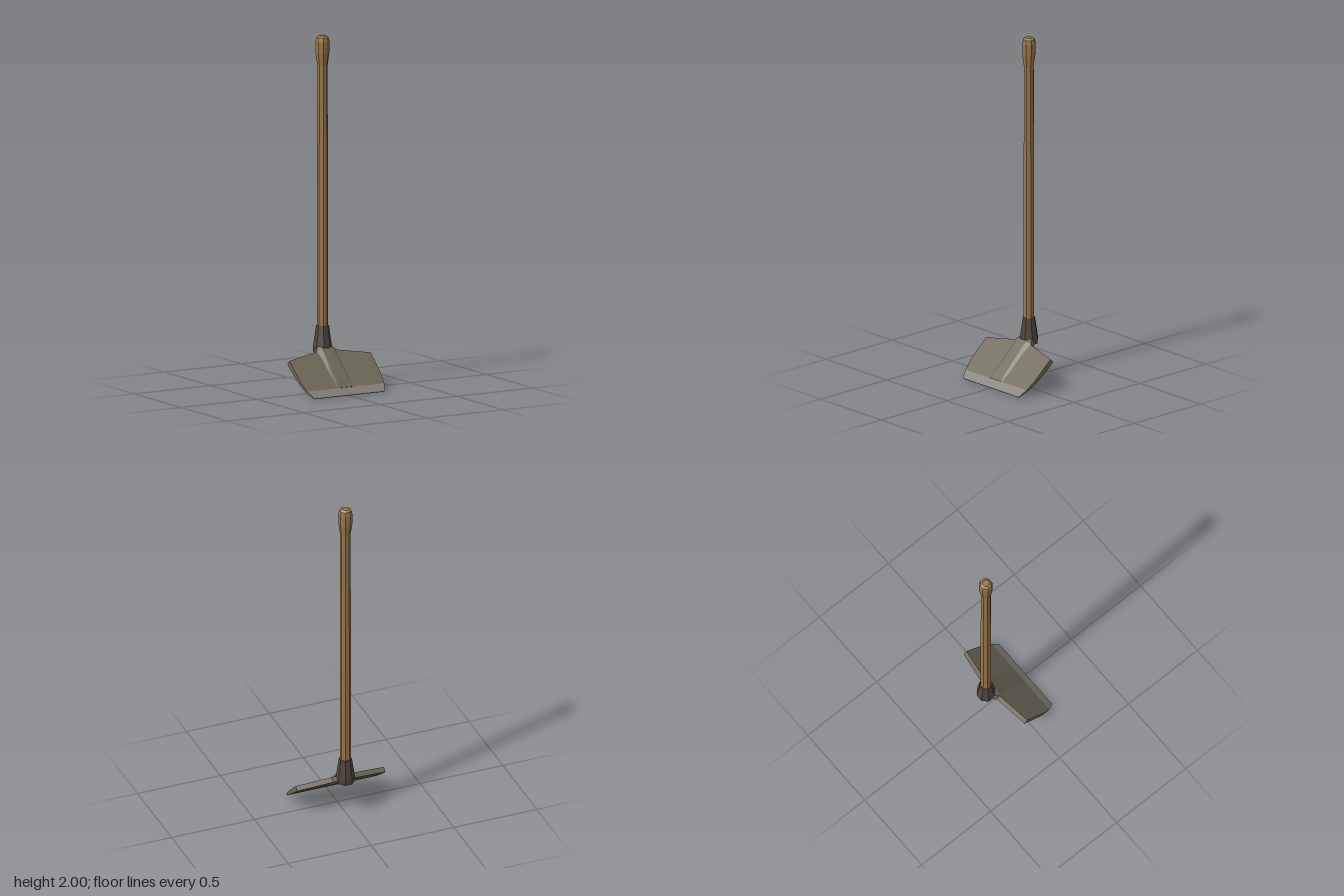
import * as THREE from 'three';

const SHAFT_Z = -0.12;
const material = (color) => new THREE.MeshStandardMaterial({ color, flatShading: true });

// Skin over matching cross-sections; each runs -x to +x on top, then back underneath.
function loft(rows) {
  const pos = [];
  const n = rows[0].length;
  const tri = (...pts) => pts.forEach((p) => pos.push(...p));
  for (let i = 0; i < rows.length - 1; i++) {
    for (let k = 0; k < n; k++) {
      const j = (k + 1) % n;
      const [a, b, c, d] = [rows[i][k], rows[i][j], rows[i + 1][k], rows[i + 1][j]];
      tri(a, c, b);
      tri(b, c, d);
    }
  }
  // End caps
  const first = rows[0], last = rows[rows.length - 1];
  for (let k = 0; k < n / 2 - 1; k++) {
    const l = n - 1 - k, m = n - 2 - k;
    tri(first[k], first[k + 1], first[m]);
    tri(first[k], first[m], first[l]);
    tri(last[k], last[m], last[k + 1]);
    tri(last[k], last[l], last[m]);
  }
  const g = new THREE.BufferGeometry();
  g.setAttribute('position', new THREE.Float32BufferAttribute(pos, 3));
  g.computeVertexNormals();
  return g;
}

// Eight-sided turned part around the shaft axis, from [radius, height] pairs.
function turned(points) {
  const g = new THREE.LatheGeometry(points.map(([r, y]) => new THREE.Vector2(r, y)), 8, Math.PI / 8);
  return g.translate(0, 0, SHAFT_Z);
}

// Blade section: half width, front face y and z, thickness, rise towards the middle.
function bladeRow([w, y, z, t, rise]) {
  const cols = [[-w, 0], [-0.06, rise], [0.06, rise], [w, 0]];
  const top = cols.map(([x, r]) => [x, y + r * 0.86, z - r]);
  const under = cols.map(([x, r]) => [x, y + r * 0.86 - 0.74 * t, z - r - 0.67 * t]);
  return [...top, ...under.reverse()];
}

// Ridge section: base and crest half widths, base y and z, height, depth below the base.
function ridgeRow([wb, wt, y, z, h, d]) {
  const at = (x, k) => [x, y + 0.74 * k, z + 0.67 * k];
  return [at(-wb, 0), at(-wt, h), at(wt, h), at(wb, 0), at(wb, -d), at(wt, -d), at(-wt, -d), at(-wb, -d)];
}

export function createModel() {
  const model = new THREE.Group();
  const add = (name, geometry, mat) => {
    const mesh = new THREE.Mesh(geometry, mat);
    mesh.name = name;
    model.add(mesh);
  };
  const wood = material(0x96754b);
  const iron = material(0x4f443d);
  const steel = material(0x6e6959);
  const edge = material(0x85807b);

  // Wooden shaft with a swollen grip at the top
  add('handle', turned([
    [0, 0.3], [0.031, 0.3], [0.031, 1.2], [0.029, 1.83],
    [0.039, 1.9], [0.04, 1.965], [0.034, 1.99], [0.02, 2.0], [0, 2.0],
  ]), wood);

  // Flared collar holding the shaft
  add('socket', turned([
    [0, 0.205], [0.052, 0.205], [0.054, 0.235], [0.036, 0.355], [0, 0.355],
  ]), iron);

  // Wide slanted blade
  add('blade', loft([
    [0.266, 0.188, -0.04, 0.03, 0.035],
    [0.265, 0.145, 0.01, 0.028, 0],
    [0.263, 0.083, 0.08, 0.02, 0],
    [0.252, 0.04, 0.13, 0.013, 0],
  ].map(bladeRow)), steel);

  // Sharpened strip along the bottom
  add('cuttingEdge', loft([
    [0.252, 0.04, 0.13, 0.013, 0],
    [0.23, 0.003, 0.17, 0.004, 0],
  ].map(bladeRow)), edge);

  // Neck leaving the socket and fading out as a ridge down the blade
  add('neckRidge', loft([
    [0.045, 0.035, 0.24, -0.105, 0.012, 0.03],
    [0.064, 0.035, 0.219, -0.077, 0.016, 0.03],
    [0.057, 0.034, 0.188, -0.04, 0.012, 0.025],
    [0.055, 0.036, 0.083, 0.08, 0.006, 0.01],
    [0.054, 0.04, 0.04, 0.13, 0.002, 0.005],
  ].map(ridgeRow)), steel);

  return model;
}
